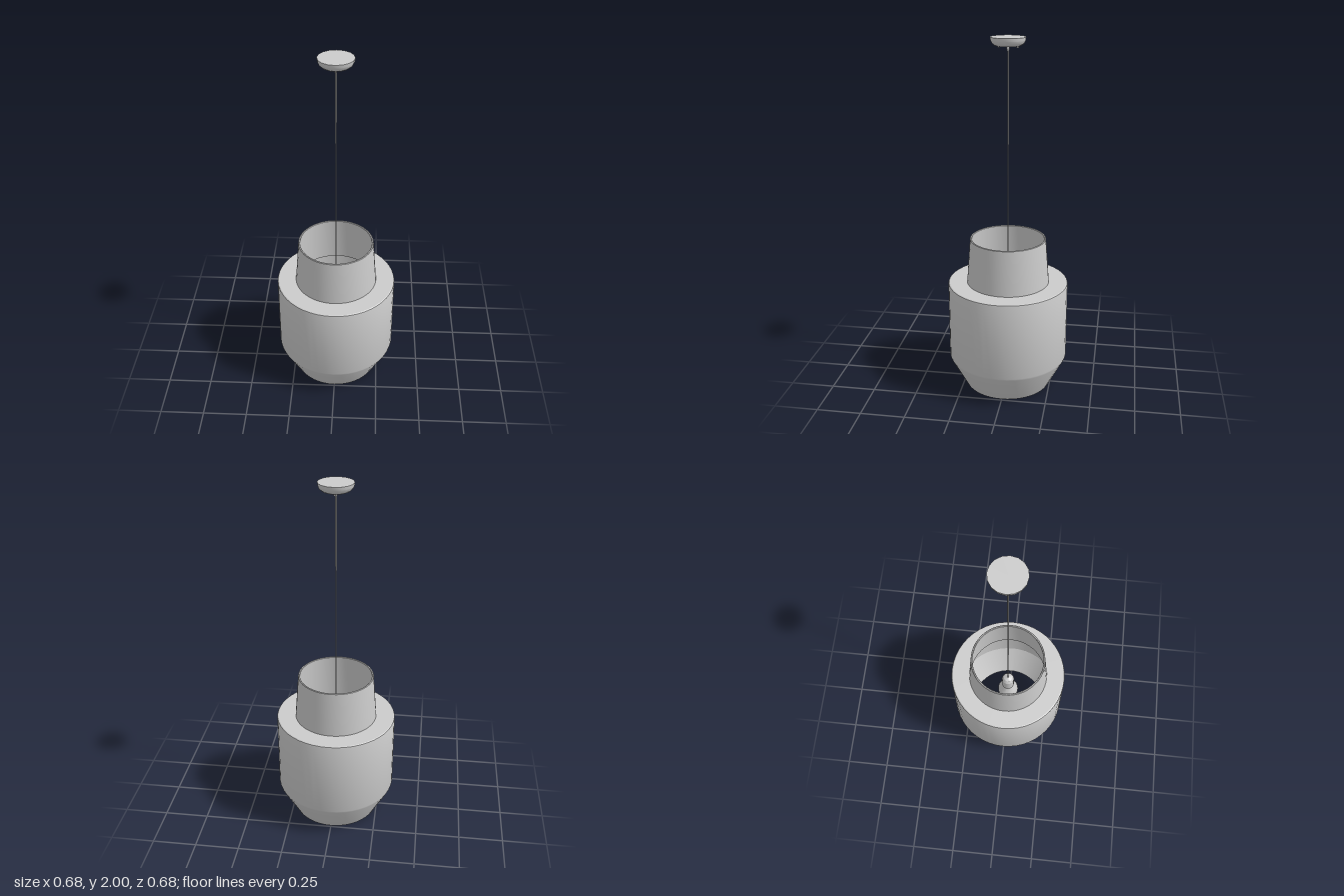
import * as THREE from 'three';
import { toCreasedNormals } from 'three/addons/utils/BufferGeometryUtils.js';

const material = new THREE.MeshStandardMaterial({ color: 0xcccccc });

function part(name, geometry, x = 0, y = 0, z = 0) {
  const mesh = new THREE.Mesh(geometry, material);
  mesh.name = name;
  mesh.position.set(x, y, z);
  return mesh;
}

// Turned part from [radius, height] pairs, with sharp edges kept
function turned(name, profile, sides) {
  const points = profile.map(([r, y]) => new THREE.Vector2(r, y));
  return part(name, toCreasedNormals(new THREE.LatheGeometry(points, sides), 0.42));
}

export function createModel() {
  const lamp = new THREE.Group();
  lamp.name = 'pendantLamp';

  // Hollow shade: up the outside, over the neck rim, down the inside
  lamp.add(turned('shade', [
    [0.235, 0.002], [0.238, 0], [0.245, 0.004],
    [0.337, 0.177], [0.34, 0.188],
    [0.34, 0.626], [0.338, 0.632], [0.332, 0.635],
    [0.233, 0.635], [0.213, 0.893], [0.211, 0.895],
    [0.205, 0.895], [0.203, 0.893],
    [0.223, 0.625], [0.33, 0.625], [0.33, 0.19], [0.235, 0.002],
  ], 48));

  // Ceiling canopy with a rounded side and a shallow stepped underside
  lamp.add(turned('canopy', [
    [0, 1.957], [0.05, 1.957], [0.066, 1.955], [0.075, 1.959],
    [0.086, 1.969], [0.093, 1.983], [0.095, 2], [0, 2],
  ], 16));

  // Two screws under the canopy
  for (const side of [-1, 1]) {
    lamp.add(part('canopyScrew', new THREE.CylinderGeometry(0.007, 0.006, 0.014, 10), 0, 1.951, side * 0.05));
  }

  // Cord grip and cord
  lamp.add(part('cordGrip', new THREE.CylinderGeometry(0.009, 0.006, 0.03, 12), 0, 1.944, 0));
  lamp.add(part('cord', new THREE.CylinderGeometry(0.004, 0.004, 1.39, 10), 0, 1.255, 0));

  // Lamp holder and bulb hanging inside the shade
  lamp.add(turned('lampHolder', [
    [0, 0.45], [0.036, 0.45], [0.036, 0.545], [0.025, 0.565], [0.008, 0.575], [0, 0.575],
  ], 20));
  lamp.add(turned('bulb', [
    [0, 0.28], [0.027, 0.286], [0.05, 0.304], [0.062, 0.332], [0.062, 0.36],
    [0.05, 0.395], [0.034, 0.425], [0.028, 0.455], [0, 0.455],
  ], 24));

  return lamp;
}
